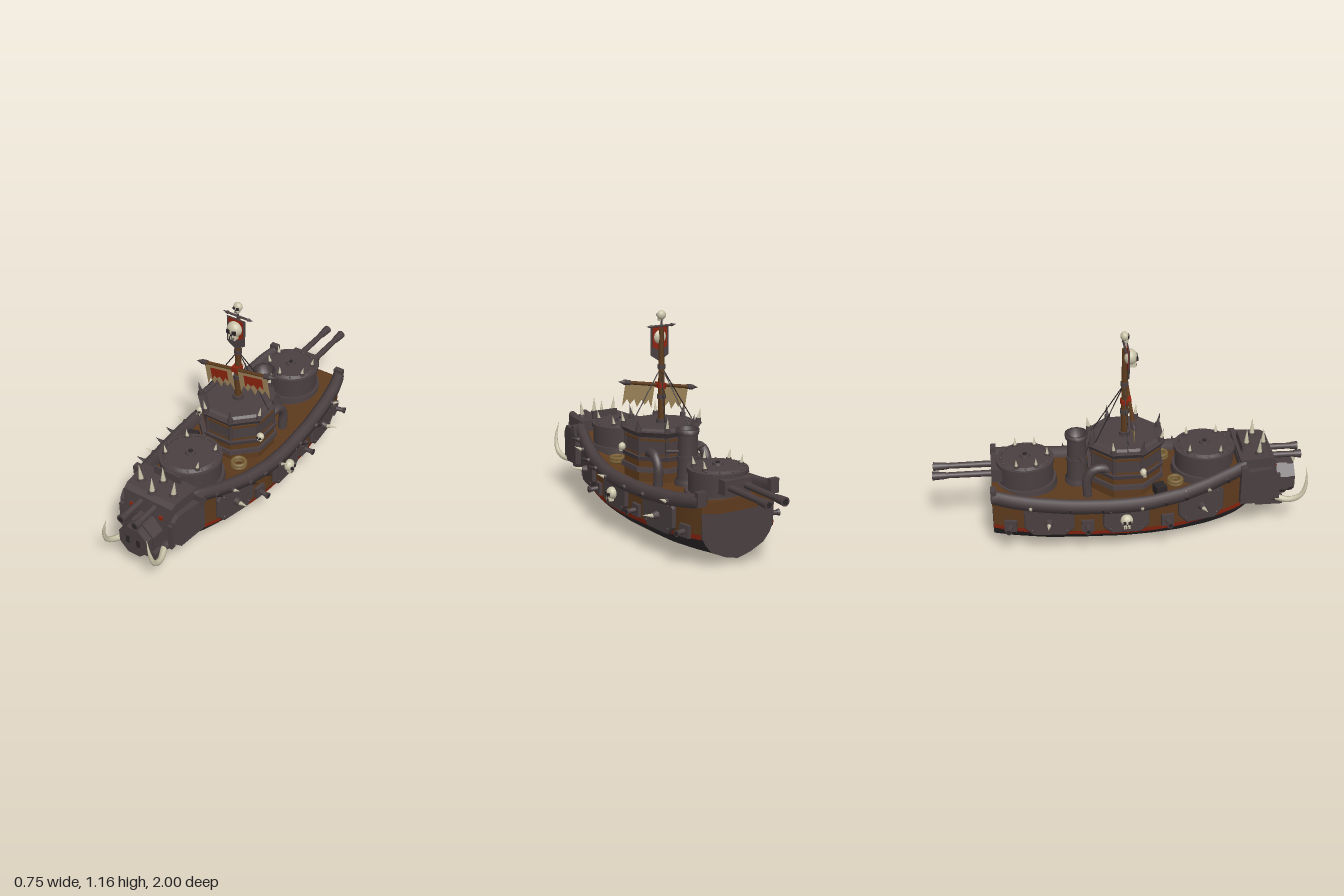
import * as THREE from 'three';

const paint = (name, color) => new THREE.MeshStandardMaterial({ name, color, side: THREE.DoubleSide });
const V = (x, y, z) => new THREE.Vector3(x, y, z);
const flat = g => { const f = g.index ? g.toNonIndexed() : g; f.computeVertexNormals(); return f; };

// piecewise-linear lookup in [z, value] pairs
const lookup = t => z => {
  let i = 0;
  while (i < t.length - 2 && z > t[i + 1][0]) i++;
  const [a, b] = [t[i], t[i + 1]];
  return a[1] + (b[1] - a[1]) * (z - a[0]) / (b[0] - a[0]);
};
const width = lookup([[-.69, .215], [-.6, .24], [-.45, .26], [-.25, .276], [0, .282], [.15, .274], [.3, .252], [.45, .217], [.6, .175], [.72, .11]]);
const railY = lookup([[-.69, .355], [-.5, .325], [-.3, .307], [-.1, .3], [.1, .305], [.3, .33], [.45, .365], [.55, .395], [.72, .44]]);
const beltY = lookup([[-.69, .16], [-.4, .13], [0, .12], [.25, .128], [.5, .15], [.72, .19]]);
const keelY = lookup([[-.69, .025], [-.4, .005], [0, 0], [.3, .003], [.45, .015], [.55, .037], [.63, .07], [.68, .105], [.72, .15]]);

export function createModel() {
  const model = new THREE.Group();
  const M = {
    metal: paint('iron', 0x4a3f41), hull: paint('tarred hull', 0x2e2a2b), wood: paint('brown wood', 0x5c3a1c),
    red: paint('red paint', 0x8c2410), bone: paint('bone', 0xc9c2a8), canvas: paint('canvas', 0x9a8157),
    dark: paint('dark iron', 0x2c2628), rope: paint('rope', 0x7c6337)
  };
  const group = (name, parent = model) => { const g = new THREE.Group(); g.name = name; parent.add(g); return g; };
  const add = (name, geo, mat, x = 0, y = 0, z = 0, parent = model) => {
    const m = new THREE.Mesh(geo, mat);
    m.name = name; m.position.set(x, y, z); parent.add(m);
    return m;
  };
  const box = (name, w, h, d, mat, x, y, z, p) => add(name, new THREE.BoxGeometry(w, h, d), mat, x, y, z, p);
  const drum = (name, rt, rb, h, mat, x, y, z, p, n = 28) => add(name, new THREE.CylinderGeometry(rt, rb, h, n), mat, x, y, z, p);
  const octagon = (name, rt, rb, y0, y1, mat, z, p) =>
    add(name, flat(new THREE.CylinderGeometry(rt, rb, y1 - y0, 8).rotateY(Math.PI / 8)), mat, 0, (y0 + y1) / 2, z, p);
  const rod = (name, a, b, r0, r1, mat, p, n = 10) => {
    const m = add(name, new THREE.CylinderGeometry(r1, r0, a.distanceTo(b), n), mat, 0, 0, 0, p);
    m.position.copy(a).lerp(b, .5);
    m.quaternion.setFromUnitVectors(V(0, 1, 0), b.clone().sub(a).normalize());
    return m;
  };
  const spike = (a, b, r, mat, p) => rod('spike', a, b, r, .0005, mat, p, 8);
  const loft = (name, rows, mat) => {
    const n = rows[0].length, idx = [], g = new THREE.BufferGeometry().setFromPoints(rows.flat());
    for (let i = 0; i < rows.length - 1; i++) for (let j = 0; j < n - 1; j++) {
      const a = i * n + j;
      idx.push(a, a + n, a + 1, a + 1, a + n, a + n + 1);
    }
    g.setIndex(idx); g.computeVertexNormals();
    return add(name, g, mat);
  };
  const shape = pts => new THREE.Shape(pts.map(p => new THREE.Vector2(...p)));
  const gun = (name, x, y, z0, z1, r, p) => {
    const d = Math.sign(z1 - z0), L = Math.abs(z1 - z0);
    rod(name, V(x, y, z0), V(x, y, z1), r, r * .85, M.metal, p, 14);
    rod('muzzle', V(x, y, z1 - d * L * .2), V(x, y, z1), r * 1.05, r * 1.3, M.metal, p, 14);
    rod('bore', V(x, y, z1), V(x, y, z1 + d * .002), r * .8, r * .8, M.dark, p, 14);
  };
  const skull = (r, x, y, z, parent) => {
    const g = group('skull', parent);
    g.position.set(x, y, z);
    add('cranium', new THREE.SphereGeometry(r, 14, 10).scale(1, 1, .85), M.bone, 0, 0, 0, g);
    box('jaw', r, r * .55, r * .8, M.bone, 0, -r * .95, r * .3, g);
    for (const s of [-1, 1]) box('eyeSocket', r * .48, r * .48, .009, M.dark, s * r * .4, -r * .05, r * .78, g);
    box('noseHole', r * .18, r * .25, .008, M.dark, 0, -r * .5, r * .74, g);
    for (const i of [-1, 0, 1]) box('toothGap', r * .06, r * .4, .004, M.dark, i * r * .25, -r * 1.02, r * .7, g);
  };

  // hull, belt, sides and deck
  const zs = Array.from({ length: 41 }, (_, i) => -.69 + i * 1.41 / 40);
  const half = [[0, 0], [.35, .14], [.72, .42], [.88, .72], [.97, 1]];
  const section = [...half.slice(1).reverse().map(([a, b]) => [-a, b]), ...half];
  const lower = z => section.map(([a, f]) => V(a * width(z), keelY(z) + f * (beltY(z) - keelY(z)), z));
  loft('lowerHull', zs.map(lower), M.hull);
  loft('deck', zs.map(z => [V(-width(z), railY(z) - .02, z), V(width(z), railY(z) - .02, z)]), M.wood);
  for (const s of [-1, 1]) {
    const band = (name, mat, a, b, o0, o1) => loft(name, zs.map(z => [V(s * (width(z) * .97 + o0), a(z), z), V(s * (width(z) + o1), b(z), z)]), mat);
    band('redBelt', M.red, z => beltY(z) - .004, z => beltY(z) + .022, .004, .002);
    band('hullSide', M.wood, z => beltY(z) + .015, railY, .004, 0);
    const ring = [[-.034, -.035], [-.034, .012], [-.012, .03], [.014, .026], [.031, .004], [.027, -.035], [-.034, -.035]];
    loft('bulwarkRail', zs.filter(z => z < .66).map(z => ring.map(([o, h]) => V(s * (width(z) + o), railY(z) + h, z))), M.metal);
    box('railEnd', .05, .075, .03, M.metal, s * .215, .36, -.682);
  }
  const end = lower(-.692).map(p => [p.x, p.y]);
  add('transom', new THREE.ShapeGeometry(shape([...end, [.215, .29], [.1, .27], [-.1, .27], [-.215, .29]])), M.metal, 0, 0, -.692);
  add('transomTop', new THREE.ShapeGeometry(shape([[-.215, .335], [.215, .335], [.215, .29], [.1, .27], [-.1, .27], [-.215, .29]])), M.wood, 0, 0, -.692);

  // fittings on the hull sides, each built facing local +z
  const mount = (name, s, y, z) => {
    const g = group(name), k = (width(z + .04) - width(z - .04)) / .08;
    g.position.set(s * (width(z) + .004), y, z);
    g.rotation.y = Math.atan2(s, -k);
    return g;
  };
  const plate = (w, h) => new THREE.ExtrudeGeometry(shape([[-w, -h * .5], [-w * .65, -h], [w * .65, -h], [w, -h * .5], [w, h * .6], [w * .8, h], [-w * .8, h], [-w, h * .6]]),
    { depth: .012, bevelSize: .006, bevelThickness: .006, bevelSegments: 1 });
  for (const s of [-1, 1]) {
    for (const [z, y, w, h] of [[.4, .255, .12, .095], [0, .22, .115, .075], [-.4, .225, .125, .085]]) {
      const g = mount('armourPlate', s, y, z);
      add('plate', plate(w, h), M.metal, 0, 0, 0, g);
      for (const a of [-1, 1]) for (const b of [-1, 1])
        add('rivet', new THREE.SphereGeometry(.007, 6, 4), M.metal, a * w * .72, b * h * .7, .018, g);
      if (z) {
        rod('spikeCollar', V(0, -.01, .01), V(0, -.01, .045), .024, .016, M.metal, g);
        spike(V(0, -.01, .04), V(0, .005, .105), .012, M.bone, g);
      } else skull(.033, 0, .005, .03, g);
    }
    for (const z of [.22, -.2, -.6]) {
      const g = mount('sideGun', s, .185, z);
      box('port', .065, .065, .018, M.metal, 0, 0, .005, g);
      gun('barrel', 0, 0, 0, .065, .014, g);
    }
    [-.49, -.29, -.12, .08, .2, .31, .43, .53].forEach((z, i) => {
      const g = mount('railSpike', s, railY(z) - .012, z);
      rod('stud', V(0, 0, .015), V(0, 0, .038), .014, .012, M.metal, g, 8);
      spike(V(0, 0, .035), V(0, .02, .075), .01, i % 3 ? M.dark : M.bone, g);
    });
  }

  // armoured bow head
  const head = group('bowHead');
  const block = (name, pts, w, taper) => {
    const g = new THREE.ExtrudeGeometry(shape(pts), { depth: 2 * w, bevelEnabled: false }).translate(0, 0, -w).rotateY(-Math.PI / 2);
    const p = g.attributes.position;
    for (let i = 0; i < p.count; i++) p.setX(i, p.getX(i) * (1 - taper * (p.getZ(i) - .62)));
    add(name, flat(g), M.metal, 0, 0, 0, head);
  };
  block('headBlock', [[.62, .21], [.78, .19], [.83, .24], [.82, .37], [.79, .4], [.62, .4]], .205, .9);
  block('headTop', [[.62, .38], [.82, .37], [.81, .44], [.78, .455], [.62, .455]], .165, .6);
  box('browPlate', .43, .05, .035, M.metal, 0, .41, .635, head);
  box('backFin', .16, .06, .012, M.metal, 0, .47, .645, head);
  box('jaw', .18, .045, .15, M.metal, 0, .143, .805, head);
  for (const [r, z0, z1] of [[.105, .78, .9], [.093, .89, .94]])
    add('snout', flat(new THREE.CylinderGeometry(r, r, z1 - z0, 8).rotateY(Math.PI / 8).rotateX(Math.PI / 2)), M.metal, 0, .255, (z0 + z1) / 2, head);
  for (const s of [-1, 1]) {
    box('nostril', .02, .042, .006, M.dark, s * .032, .257, .941, head);
    box('eye', .022, .02, .008, M.red, s * .09, .372, .826, head);
    gun('bowGun', s * .042, .407, .78, .97, .018, head);
    box('cheekRib', .022, .15, .03, M.metal, s * .15, .28, .825, head);
    const path = new THREE.CatmullRomCurve3([V(s * .1, .18, .82), V(s * .135, .175, .9), V(s * .147, .21, .965), V(s * .142, .29, .99), V(s * .125, .37, .985)]);
    const g = new THREE.TubeGeometry(path, 18, .018, 8), p = g.attributes.position, v = V();
    for (let i = 0; i < p.count; i++) { // taper to the tip
      const t = Math.floor(i / 9) / 18;
      v.fromBufferAttribute(p, i).lerp(path.getPointAt(t), t * t * .97);
      p.setXYZ(i, v.x, v.y, v.z);
    }
    g.computeVertexNormals();
    add('tusk', g, M.bone, 0, 0, 0, head);
    drum('tuskSocket', .024, .024, .05, M.metal, s * .1, .18, .81, head, 10).rotation.x = Math.PI / 2;
  }
  for (const [x, z] of [[-.1, .73], [.1, .73], [0, .68], [0, .77]]) {
    drum('spikeBase', .02, .024, .016, M.metal, x, .46, z, head, 10);
    spike(V(x, .46, z), V(x * 1.1, .55, z), .015, M.bone, head);
  }

  // round turrets
  const turret = (name, z, r, y0, y1, spikes) => {
    const g = group(name);
    drum('base', r + .015, r + .02, .04, M.metal, 0, y0 + .02, z, g);
    drum('drum', r, r, y1 - y0 - .02, M.metal, 0, (y0 + y1) / 2 - .01, z, g);
    drum('rim', r + .006, r + .006, .022, M.metal, 0, y1 - .015, z, g);
    drum('roof', r * .82, r * .95, .012, M.metal, 0, y1, z, g);
    drum('hatch', .026, .03, .016, M.metal, 0, y1 + .01, z, g, 12);
    drum('hatchCap', .012, .012, .006, M.dark, 0, y1 + .02, z, g, 10);
    for (let i = 0; i < 12; i++) {
      const a = i * Math.PI / 6;
      add('rivet', new THREE.SphereGeometry(.006, 6, 4), M.metal, Math.sin(a) * r * .88, y1 + .003, z + Math.cos(a) * r * .88, g);
    }
    for (const a of spikes) {
      const x = Math.sin(a) * r * .8, w = z + Math.cos(a) * r * .8;
      drum('spikeBase', .014, .016, .014, M.metal, x, y1 + .007, w, g, 8);
      spike(V(x, y1 + .01, w), V(x * 1.08, y1 + .055, w), .01, M.bone, g);
    }
    return g;
  };
  turret('frontTurret', .45, .158, .32, .475, [.9, 2.3, 3.9, 5.3]);
  const rear = turret('rearTurret', -.51, .148, .29, .45, [0, 1.1, 2, 4.3, 5.2]);
  box('gunMount', .16, .075, .06, M.metal, 0, .39, -.66, rear);
  for (const s of [-1, 1]) gun('rearGun', s * .047, .39, -.64, -.998, .018, rear);

  // octagonal deckhouse
  const house = group('deckhouse'), cz = .022;
  octagon('lowerWall', .195, .2, .27, .43, M.wood, cz, house);
  octagon('lowerBand', .212, .215, .335, .36, M.metal, cz, house);
  octagon('middleBand', .212, .205, .395, .42, M.metal, cz, house);
  octagon('upperWall', .192, .192, .42, .53, M.metal, cz, house);
  octagon('woodTrim', .198, .198, .5, .512, M.wood, cz, house);
  octagon('roof', .22, .2, .522, .55, M.metal, cz, house);
  octagon('roofPanel', .17, .185, .55, .56, M.metal, cz, house);
  for (let i = 0; i < 8; i++) {
    const a = Math.PI / 8 + i * Math.PI / 4, x = Math.sin(a), z = Math.cos(a);
    drum('spikeBase', .014, .017, .03, M.metal, x * .2, .56, cz + z * .2, house, 8);
    spike(V(x * .2, .565, cz + z * .2), V(x * .212, .63, cz + z * .212), .011, i % 2 ? M.bone : M.metal, house);
    rod('cornerPost', V(x * .19, .42, cz + z * .19), V(x * .19, .53, cz + z * .19), .01, .01, M.metal, house, 6);
  }
  for (const s of [-1, 1]) skull(.021, s * .195, .437, .1, house);

  // funnel, bent pipes and deck clutter
  const funnel = [[.066, .27], [.066, .31], [.054, .32], [.05, .55], [.06, .555], [.062, .58], [.046, .58], [.044, .53], [0, .53]];
  add('funnel', new THREE.LatheGeometry(funnel.map(p => new THREE.Vector2(...p)), 16), M.metal, 0, 0, -.235);
  drum('funnelBand', .058, .058, .02, M.metal, 0, .43, -.235, model, 16);
  for (const s of [-1, 1]) {
    const bend = new THREE.CatmullRomCurve3([V(s * .15, .28, -.19), V(s * .15, .39, -.19), V(s * .148, .44, -.15), V(s * .14, .44, -.1), V(s * .13, .41, -.06)]);
    add('bentPipe', new THREE.TubeGeometry(bend, 16, .025, 10), M.metal);
    rod('funnelBrace', V(0, .46, -.235), V(s * .115, .47, -.21), .008, .008, M.metal);
  }
  for (const [x, z] of [[-.12, .28], [.15, .235]]) for (let i = 0; i < 2; i++)
    add('ropeCoil', new THREE.TorusGeometry(.034, .011, 6, 18).rotateX(Math.PI / 2), M.rope, x, .32 + i * .016, z);
  box('crate', .06, .05, .06, M.dark, -.18, .32, .19).rotation.y = .3;

  // mast with banner, topped by a skull
  const rig = group('mast'), mz = .02;
  rod('pole', V(0, .55, mz), V(0, 1.06, mz), .02, .013, M.wood, rig, 12);
  rod('topPole', V(0, 1.05, mz), V(0, 1.12, mz), .005, .005, M.metal, rig);
  for (const [y, r, m] of [[.57, .03, M.metal], [.7, .024, M.metal], [.76, .024, M.red], [.86, .021, M.metal]]) drum('mastBand', r, r, .022, m, 0, y, mz, rig, 12);
  skull(.025, 0, 1.132, mz, rig);
  rod('bannerBar', V(-.075, 1.075, mz), V(.075, 1.075, mz), .006, .006, M.metal, rig);
  for (const s of [-1, 1]) spike(V(s * .06, 1.075, mz), V(s * .09, 1.077, mz), .009, M.metal, rig);
  const cloth = (name, pts, d, mat, z, p) => add(name, new THREE.ExtrudeGeometry(shape(pts), { depth: d, bevelEnabled: false }), mat, 0, 0, z, p);
  cloth('banner', [[-.054, 1.07], [.054, 1.07], [.054, .92], [0, .885], [-.054, .92]], .006, M.metal, .035, rig);
  cloth('bannerField', [[-.044, 1.066], [.044, 1.066], [.044, .965], [0, .94], [-.044, .965]], .009, M.red, .0335, rig);
  skull(.042, 0, 1.015, .05, rig);

  // tilted yard with torn sails
  const yard = group('yard', rig);
  yard.position.set(0, .758, .045);
  yard.rotation.z = .172;
  rod('spar', V(-.2, 0, 0), V(.21, 0, 0), .01, .01, M.wood, yard);
  for (const s of [-1, 1]) {
    rod('sparCap', V(s * .18, 0, 0), V(s * .215, 0, 0), .014, .014, M.metal, yard);
    spike(V(s * .21, 0, 0), V(s * .25, 0, 0), .014, M.metal, yard);
  }
  box('sparLashing', .04, .03, .05, M.red, 0, 0, -.015, yard);
  const torn = (x0, x1, top, mid, low, n) => {
    const pts = [[x1, top], [x0, top]];
    for (let i = 0; i <= 2 * n; i++) pts.push([x0 + (x1 - x0) * i / (2 * n), i % 2 ? mid : low + (i % 4) * .006]);
    return pts;
  };
  for (const [x0, x1] of [[-.19, -.02], [.022, .2]]) {
    cloth('sail', torn(x0, x1, -.004, -.085, -.125, 4), .004, M.canvas, .006, yard);
    cloth('sailPatch', torn(x0 + .035, x1 - .03, -.018, -.06, -.088, 3), .003, M.red, .0105, yard);
  }
  for (const s of [-1, 1]) {
    rod('stay', V(0, .86, mz), V(s * .19, .56, mz), .003, .003, M.dark, rig, 5);
    rod('backStay', V(0, .86, mz), V(s * .075, .56, -.14), .003, .003, M.dark, rig, 5);
  }
  return model;
}
